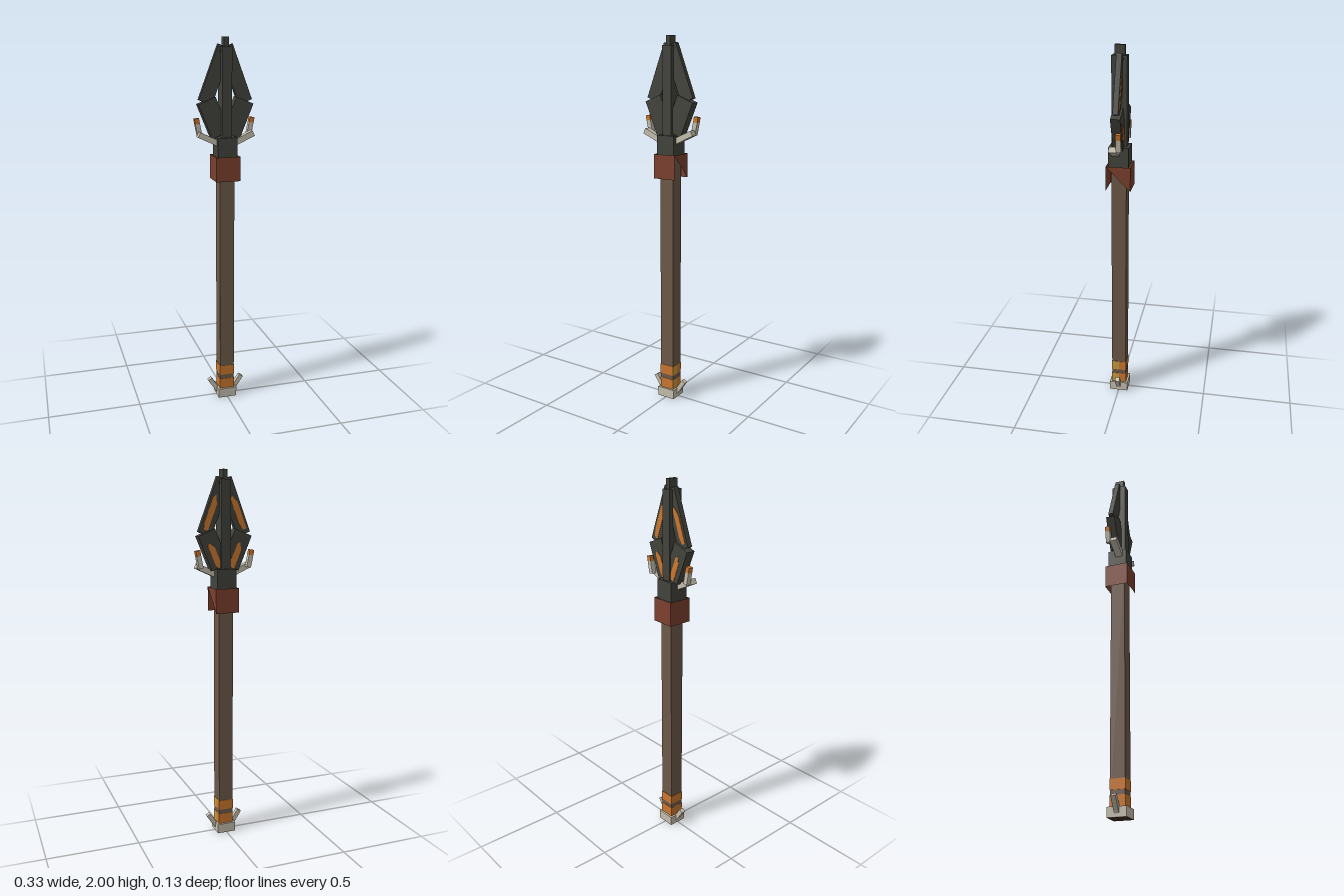
import * as THREE from 'three';

const mat = (name, color, side = THREE.FrontSide) => {
  const m = new THREE.MeshStandardMaterial({ color, side });
  m.name = name;
  return m;
};

export function createModel() {
  const dark = mat('darkIron', 0x42433c);
  const wood = mat('wood', 0x6e5949);
  const leather = mat('redLeather', 0x7c402e, THREE.DoubleSide);
  const bone = mat('bone', 0xc6bfae);
  const orange = mat('orange', 0xcb772f);
  const yellow = mat('ochre', 0xc99a42);
  const under = mat('darkWood', 0x40301f);
  const model = new THREE.Group();

  const add = (name, geo, material, x = 0, y = 0, z = 0, rot = 0, parent = model) => {
    const m = new THREE.Mesh(geo, material);
    m.name = name;
    m.position.set(x, y, z);
    m.rotation.z = rot;
    parent.add(m);
    return m;
  };
  const block = (name, material, w, y0, y1, d) =>
    add(name, new THREE.BoxGeometry(w, y1 - y0, d), material, 0, (y0 + y1) / 2, 0);
  // Box running between two points in the xy plane
  const beam = (name, material, a, b, w, d, z) =>
    add(name, new THREE.BoxGeometry(w, Math.hypot(b[0] - a[0], b[1] - a[1]), d), material,
      (a[0] + b[0]) / 2, (a[1] + b[1]) / 2, z, Math.atan2(a[0] - b[0], b[1] - a[1]));

  // Shaft with painted bands, and the foot
  block('shaft', wood, 0.08, 0.03, 1.4, 0.08);
  for (const [y0, y1] of [[0.05, 0.11], [0.135, 0.19]]) {
    block('shaftBand', orange, 0.083, y0, y1, 0.083);
    add('bandPatch', new THREE.BoxGeometry(0.002, y1 - y0, 0.041), yellow, 0.0415, (y0 + y1) / 2, 0.0205);
  }
  add('foot', new THREE.BoxGeometry(0.104, 0.052, 0.104),
    [bone, bone, bone, under, bone, bone], 0, 0.026, 0);

  // Leather wrap: open band whose left side is cut diagonally
  const r = 0.065, wrapY = 1.325;
  for (const a of [0, Math.PI, -Math.PI / 2]) {
    const m = add('leatherWrap', new THREE.PlaneGeometry(2 * r, 0.13), leather, Math.sin(a) * r, wrapY, Math.cos(a) * r);
    m.rotation.y = a;
  }
  const cut = new THREE.Shape([[-r, r], [r, -r], [r, r]].map(p => new THREE.Vector2(...p)));
  add('leatherWrapCutSide', new THREE.ShapeGeometry(cut), leather, r, wrapY, 0).rotation.y = Math.PI / 2;

  // Head socket, spine and tip
  block('socket', dark, 0.106, 1.385, 1.49, 0.106);
  block('spine', dark, 0.053, 1.45, 1.95, 0.08);
  block('tip', dark, 0.025, 1.9, 2.0, 0.053);

  // Glowing inlay on the back of a blade
  const inlay = (blade, w, h, x, y, depth) => {
    const s = new THREE.Shape([[-w, -h], [w * 0.4, -h], [w, -h * 0.6], [w, h * 0.75], [w * 0.3, h], [-w, h * 0.5]]
      .map(p => new THREE.Vector2(...p)));
    const geo = new THREE.ExtrudeGeometry(s, { depth: 0.003, bevelEnabled: false });
    add('bladeInlay', geo, orange, x, y, -depth / 2 - 0.002, 0, blade);
  };

  for (const s of [1, -1]) {
    const z = s > 0 ? -0.0015 : -0.0065;
    // Two blades per side, leaving a small gap against the spine
    const upper = beam('upperBlade', dark, [s * 0.108, 1.67], [s * 0.002, 1.951], 0.075, 0.028, z);
    inlay(upper, 0.016, 0.095, s * 0.008, -0.033, 0.028);
    const lower = beam('lowerBlade', dark, [s * 0.028, 1.50], [s * 0.102, 1.68], 0.1, 0.05, z);
    inlay(lower, 0.017, 0.072, s * 0.005, -0.028, 0.05);

    // Side hooks with orange tips
    beam('hookArm', bone, [s * 0.04, 1.457], [s * 0.148, 1.507], 0.03, 0.04, 0.013);
    beam('hookUpright', bone, [s * 0.134, 1.495], [s * 0.147, 1.56], 0.025, 0.026, -0.018);
    beam('hookTip', orange, [s * 0.147, 1.56], [s * 0.152, 1.588], 0.025, 0.026, -0.018);

    // Small spurs on the foot
    beam('footSpur', bone, [s * 0.043, 0.025], [s * 0.093, 0.101], 0.025, 0.025, 0);
  }
  return model;
}
